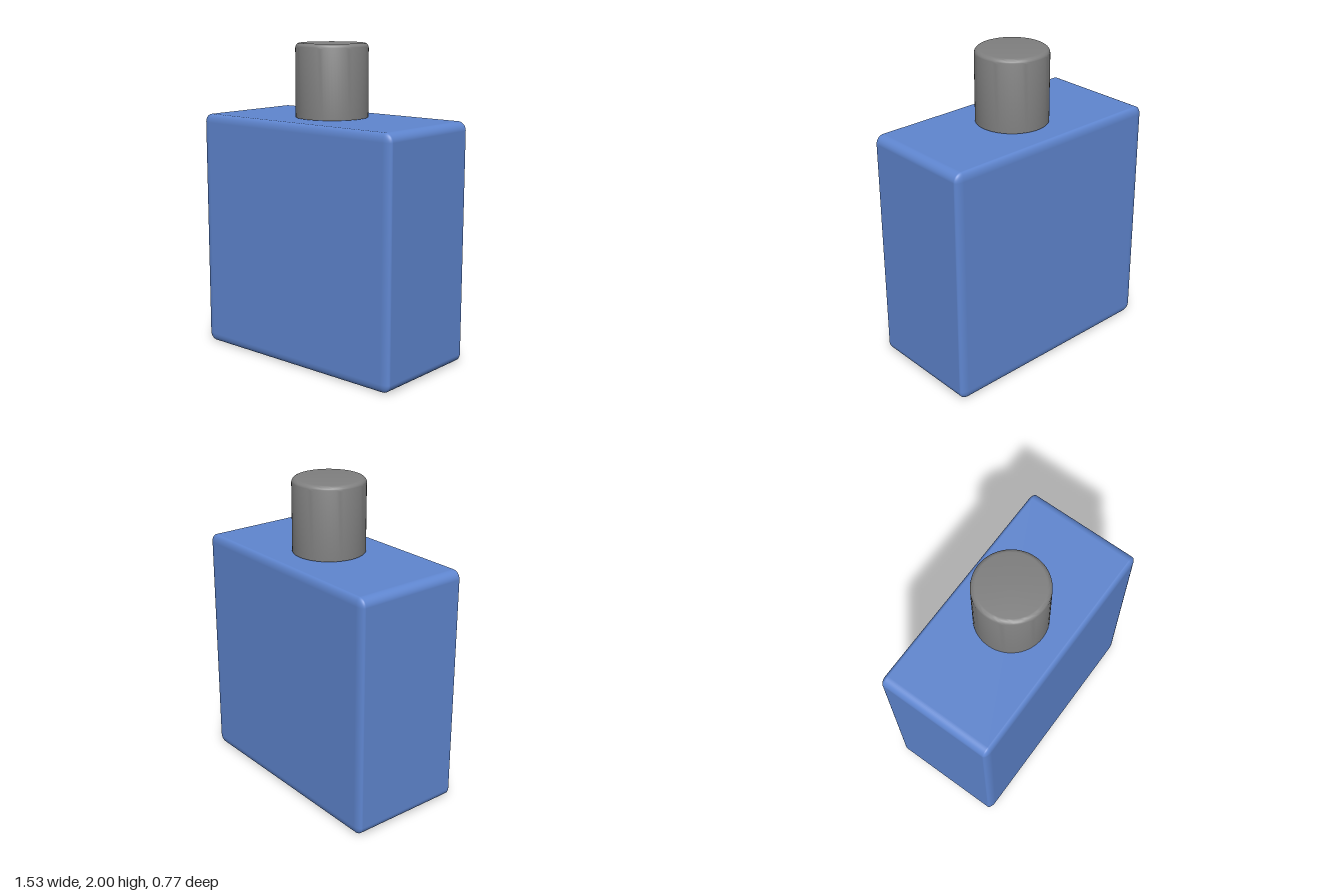
import * as THREE from 'three';
import { toCreasedNormals } from 'three/addons/utils/BufferGeometryUtils.js';
import { RoundedBoxGeometry } from 'three/addons/geometries/RoundedBoxGeometry.js';

const BODY = 1.535, CAP_R = 0.228, CAP_BOTTOM = 1.54, CAP_BEVEL = 0.03, CAP_X = 0.004;

function addPart(group, name, geometry, color) {
  const mesh = new THREE.Mesh(geometry, new THREE.MeshStandardMaterial({ color }));
  mesh.name = name;
  group.add(mesh);
  return mesh;
}

export function createModel() {
  const model = new THREE.Group();
  model.name = 'bottle';

  // Body: a rounded cube flattened to half depth, so its edge rounding flattens too
  const bodyGeometry = new RoundedBoxGeometry(BODY, BODY, BODY, 6, 0.055);
  bodyGeometry.scale(1, 1, 0.5);
  addPart(model, 'body', bodyGeometry, 0x5f86d0).position.y = BODY / 2;

  // Neck: short collar joining the body and the cap
  const neckGeometry = new THREE.CylinderGeometry(0.18, 0.18, 0.06, 48);
  addPart(model, 'neck', neckGeometry, 0x808080).position.set(CAP_X, 1.54, 0);

  // Cap: sharp lower rim, softly rounded upper rim
  const profile = [new THREE.Vector2(0, CAP_BOTTOM), new THREE.Vector2(CAP_R, CAP_BOTTOM)];
  for (let i = 0; i <= 6; i++) {
    const a = (i / 6) * Math.PI / 2;
    profile.push(new THREE.Vector2(
      CAP_R - CAP_BEVEL + CAP_BEVEL * Math.cos(a),
      2 - CAP_BEVEL + CAP_BEVEL * Math.sin(a)));
  }
  profile.push(new THREE.Vector2(0, 2));
  const capGeometry = toCreasedNormals(new THREE.LatheGeometry(profile, 64), 0.6);
  addPart(model, 'cap', capGeometry, 0x808080).position.x = CAP_X;

  return model;
}
